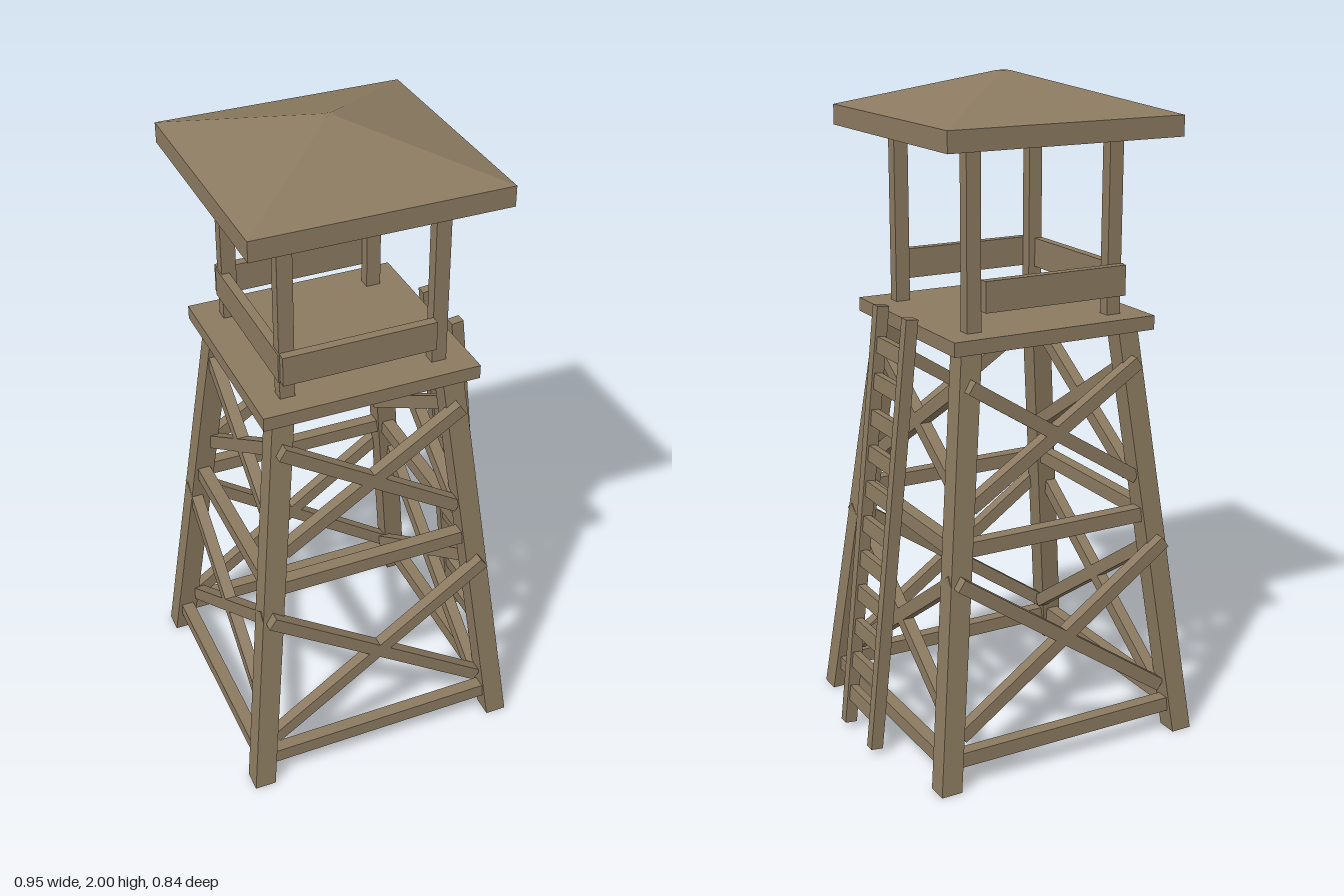
import * as THREE from 'three';

export function createModel() {
  const model = new THREE.Group();
  model.name = 'watchtower';
  const tower = new THREE.Group();
  tower.name = 'tower';
  tower.position.x = -0.043;
  model.add(tower);

  const wood = new THREE.MeshStandardMaterial({ color: 0x8b7a60 });
  wood.name = 'weathered wood';

  const add = (name, geometry, parent = tower) => {
    const mesh = new THREE.Mesh(geometry, wood);
    mesh.name = name;
    parent.add(mesh);
    return mesh;
  };
  const box = (name, w, h, d, x, y, z, parent) => {
    const mesh = add(name, new THREE.BoxGeometry(w, h, d), parent);
    mesh.position.set(x, y, z);
    return mesh;
  };

  // Leaning legs: upright posts sheared towards the middle, cut level at both ends
  const legHeight = 1.27;
  for (const sx of [-1, 1]) for (const sz of [-1, 1]) {
    const g = new THREE.BoxGeometry(0.065, legHeight, 0.065);
    g.translate(0, legHeight / 2, 0);
    const p = g.attributes.position;
    for (let i = 0; i < p.count; i++) {
      const t = p.getY(i) / legHeight;
      p.setX(i, p.getX(i) + sx * (0.402 - 0.144 * t));
      p.setZ(i, p.getZ(i) + sz * (0.39 - 0.14 * t));
    }
    g.computeVertexNormals();
    add('leg', g.toNonIndexed()).geometry.computeVertexNormals();
  }

  // Level beams and crossed braces on all four sides
  const beams = [{ y: 0.088, x: 0.392, z: 0.38 }, { y: 0.705, x: 0.322, z: 0.312 }];
  const crosses = [
    { y: 0.387, run: 0.345, rise: 0.238, x: 0.347, z: 0.365 },
    { y: 1.0, run: 0.277, rise: 0.177, x: 0.281, z: 0.303 },
  ];
  for (const s of [-1, 1]) {
    for (const b of beams) {
      box('frontBackBeam', 2 * b.x, 0.045, 0.04, 0, b.y, s * b.z);
      box('sideBeam', 0.04, 0.045, 2 * b.z, s * b.x, b.y, 0);
    }
    for (const c of crosses) for (const d of [-1, 1]) {
      const length = 2 * Math.hypot(c.run, c.rise);
      const angle = d * Math.atan2(c.rise, c.run);
      box('frontBackBrace', length, 0.04, 0.036, 0, c.y, s * c.z).rotation.z = angle;
      box('sideBrace', 0.036, 0.04, length, s * c.x, c.y, 0).rotation.x = angle;
    }
  }

  // Lookout platform and roof posts
  box('platform', 0.655, 0.042, 0.628, 0, 1.29, 0);
  for (const sx of [-1, 1]) for (const sz of [-1, 1]) {
    box('roofPost', 0.045, 0.54, 0.038, sx * 0.23, 1.57, sz * 0.226);
  }

  // Guard boards on three sides, open towards the ladder
  for (const s of [-1, 1]) box('guardBoard', 0.46, 0.09, 0.028, -0.022, 1.415, s * 0.258);
  box('leftGuardBoard', 0.028, 0.09, 0.5, -0.243, 1.415, 0);

  // Roof slab and hipped top
  box('roofEdge', 0.744, 0.06, 0.734, 0, 1.86, 0);
  const hip = new THREE.CylinderGeometry(0.03 * Math.SQRT1_2 * 1.3, Math.SQRT1_2, 0.11, 4, 1);
  hip.rotateY(Math.PI / 4);
  hip.scale(0.744, 1, 0.734);
  const hipFlat = hip.toNonIndexed();
  hipFlat.computeVertexNormals();
  add('roof', hipFlat).position.y = 1.945;

  // Leaning ladder
  const ladder = new THREE.Group();
  ladder.name = 'ladder';
  const dx = 0.14, dy = 1.315;
  const tilt = Math.atan2(dx, dy);
  ladder.position.set(0.38, 0.676, 0.005);
  ladder.rotation.z = tilt;
  model.add(ladder);
  for (const s of [-1, 1]) box('ladderRail', 0.038, Math.hypot(dx, dy), 0.032, 0, 0, s * 0.096, ladder);
  for (let i = 0; i < 11; i++) {
    const y = (0.12 + i * 0.11 - 0.676) / Math.cos(tilt);
    box('rung', 0.024, 0.048, 0.18, 0, y, 0, ladder);
  }

  return model;
}
